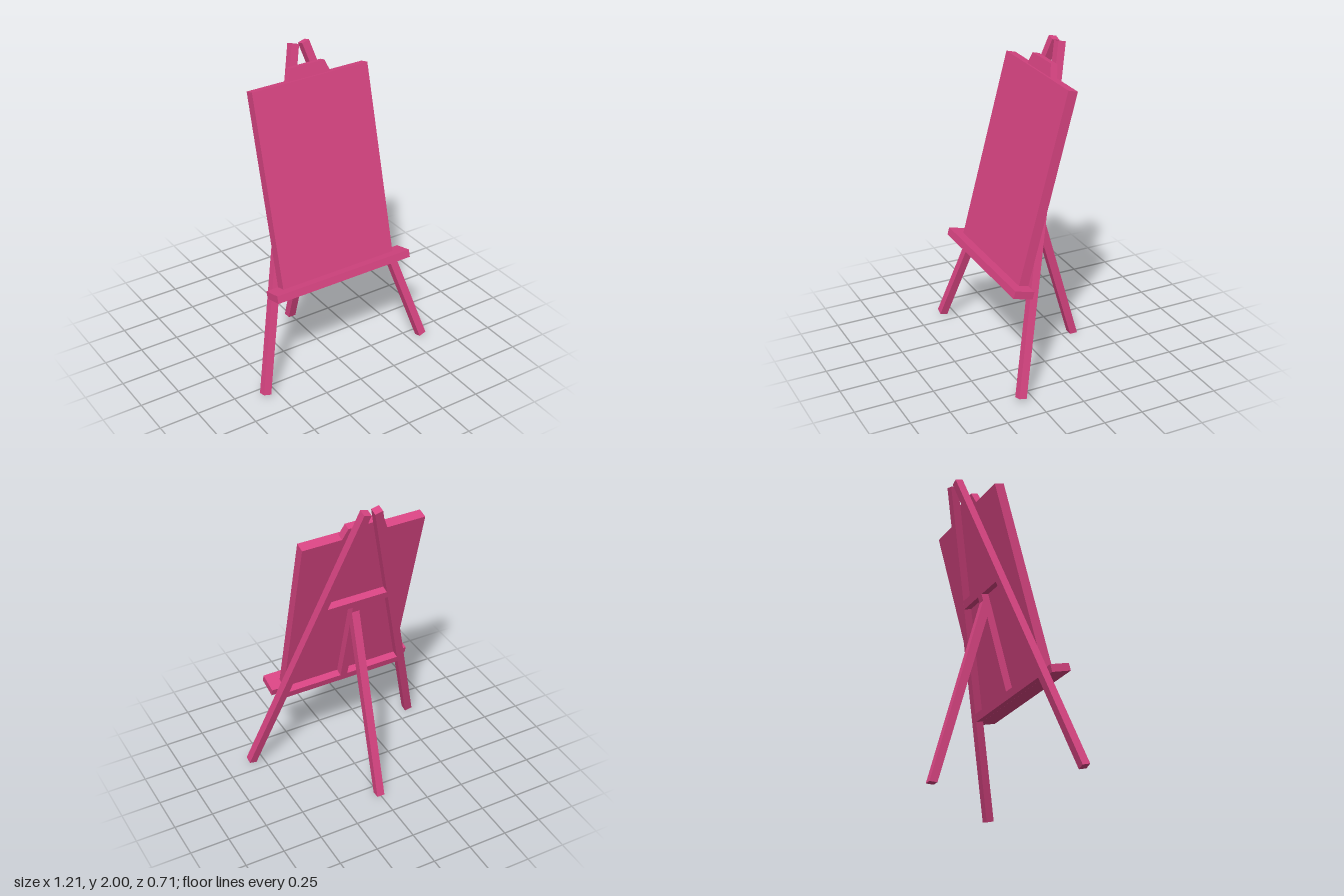
import * as THREE from 'three';

export function createModel() {
  const model = new THREE.Group();
  model.name = 'easel';
  const material = new THREE.MeshStandardMaterial({ color: 0xd94583, flatShading: true });

  // Everything but the rear leg lies in one frame leaning back by 15 degrees
  const frame = new THREE.Group();
  frame.name = 'leaningFrame';
  frame.position.set(0, 0.02, 0.33);
  frame.rotation.x = -Math.PI / 12;
  model.add(frame);

  const add = (parent, name, geometry) => {
    const mesh = new THREE.Mesh(geometry, material);
    mesh.name = name;
    parent.add(mesh);
    return mesh;
  };

  // Box given by half width and its bottom/top and back/front limits in the frame
  const slab = (name, halfWidth, y0, y1, z0, z1) =>
    add(frame, name, new THREE.BoxGeometry(halfWidth * 2, y1 - y0, z1 - z0))
      .position.set(0, (y0 + y1) / 2, (z0 + z1) / 2);

  // Polygon extruded symmetrically to the given depth
  const prism = (points, depth) => {
    const shape = new THREE.Shape(points.map(([x, y]) => new THREE.Vector2(x, y)));
    return new THREE.ExtrudeGeometry(shape, { depth, bevelEnabled: false })
      .translate(0, 0, -depth / 2);
  };

  // Front legs, converging towards the top
  const foot = 0.58, tip = 0.035, height = 2.036;
  const legX = (y) => foot + (tip - foot) * y / height;
  for (const side of [1, -1]) {
    const leg = add(frame, side > 0 ? 'leftLeg' : 'rightLeg',
      new THREE.BoxGeometry(0.05, Math.hypot(foot - tip, height), 0.05));
    leg.position.set(side * (foot + tip) / 2, height / 2, 0);
    leg.rotation.z = side * Math.atan2(foot - tip, height);
  }

  // Crossbars between the legs and the central strut
  slab('lowerCrossbar', legX(0.617), 0.593, 0.641, -0.024, 0.024);
  slab('upperCrossbar', legX(1.3), 1.275, 1.325, -0.024, 0.024);
  slab('centreStrut', 0.024, 0.64, 1.276, -0.024, 0.024);

  // Shelf, canvas and the tapered clamp above it
  slab('shelf', 0.475, 0.593, 0.641, 0.025, 0.153);
  slab('canvas', 0.395, 0.641, 1.84, 0.025, 0.088);
  const clamp = add(frame, 'topClamp',
    prism([[-0.145, 1.84], [0.145, 1.84], [0.115, 1.915], [-0.115, 1.915]], 0.046));
  clamp.position.z = 0.048;

  // Rear leg, cut flat at the floor and against the frame at the top (profile in z, y)
  const rear = add(model, 'rearLeg',
    prism([[0.3, 0], [0.35, 0], [0.012, 1.205], [-0.016, 1.1]], 0.05));
  rear.rotation.y = Math.PI / 2;

  return model;
}
